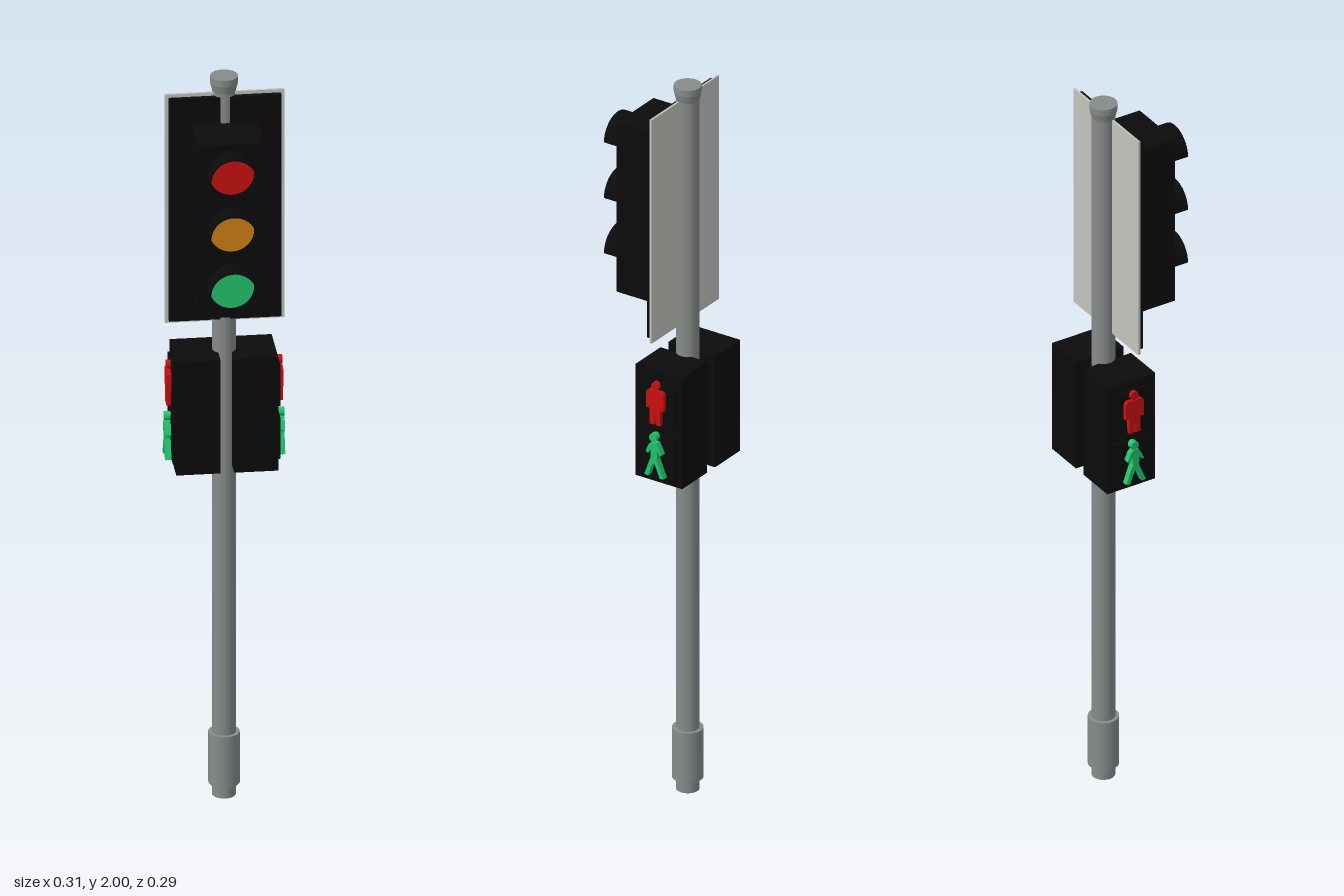
import * as THREE from 'three';

const mat = (name, color) => {
  const m = new THREE.MeshStandardMaterial({ color });
  m.name = name;
  return m;
};

export function createModel() {
  const model = new THREE.Group();
  model.name = 'trafficLight';
  const steel = mat('steel', 0x868c8a);
  const black = mat('black', 0x0b0b0b);
  const pale = mat('paleGrey', 0xc4c4be);
  const red = mat('red', 0xc81010);
  const amber = mat('amber', 0xcf8014);
  const green = mat('green', 0x22c46c);
  const poleZ = -0.0715;

  const add = (parent, name, geometry, material, x = 0, y = 0, z = 0) => {
    const mesh = new THREE.Mesh(geometry, material);
    mesh.name = name;
    mesh.position.set(x, y, z);
    parent.add(mesh);
    return mesh;
  };
  // Box given by its extents
  const box = (parent, name, material, x0, x1, y0, y1, z0, z1) =>
    add(parent, name, new THREE.BoxGeometry(x1 - x0, y1 - y0, z1 - z0), material,
      (x0 + x1) / 2, (y0 + y1) / 2, (z0 + z1) / 2);
  // Upright round section of the pole
  const round = (name, rTop, rBottom, y0, y1) =>
    add(model, name, new THREE.CylinderGeometry(rTop, rBottom, y1 - y0, 32), steel, 0, (y0 + y1) / 2, poleZ);

  // Pole with base sleeve and flared cap
  round('pole', 0.03, 0.03, 0, 1.98);
  round('baseSleeve', 0.04, 0.04, 0.034, 0.175);
  round('capFlare', 0.0355, 0.03, 1.96, 1.982);
  round('cap', 0.0355, 0.0355, 1.982, 2);

  // Backing board: pale sheet with a black front
  box(model, 'backBoard', pale, -0.152, 0.152, 1.325, 1.96, -0.064, -0.058);
  box(model, 'boardFace', black, -0.143, 0.143, 1.334, 1.951, -0.058, -0.044);

  // Main signal housing
  box(model, 'signalHousing', black, -0.083, 0.083, 1.4, 1.88, -0.05, 0.09);

  // Lenses, each under a half-round visor
  const visorShape = new THREE.Shape();
  visorShape.absarc(0, 0, 0.062, 0, Math.PI, false);
  visorShape.absarc(0, 0, 0.0575, Math.PI, 0, true);
  const visorGeo = new THREE.ExtrudeGeometry(visorShape, { depth: 0.053, bevelEnabled: false, curveSegments: 20 });
  const lensGeo = new THREE.CylinderGeometry(0.057, 0.057, 0.006, 32).rotateX(Math.PI / 2);
  [['red', red, 1.8], ['amber', amber, 1.642], ['green', green, 1.485]].forEach(([name, material, y]) => {
    add(model, name + 'Lens', lensGeo, material, 0, y, 0.092);
    add(model, name + 'Visor', visorGeo, black, 0, y, 0.09);
  });

  // Pedestrian figures, drawn as flat outlines
  const poly = (points) => new THREE.Shape(points.map(([x, y]) => new THREE.Vector2(x, y)));
  const disc = (x, y, r) => new THREE.Shape().absarc(x, y, r, 0, Math.PI * 2, false);
  const standing = [
    disc(0, 0.049, 0.0115),
    poly([[-0.02, 0.036], [0.02, 0.036], [0.027, 0.03], [0.027, -0.016], [0.019, -0.016], [0.017, -0.005],
      [0.016, -0.06], [0.002, -0.06], [0, -0.02], [-0.002, -0.06], [-0.016, -0.06], [-0.017, -0.005],
      [-0.019, -0.016], [-0.027, -0.016], [-0.027, 0.03]]),
  ];
  const walking = [
    disc(-0.003, 0.051, 0.0115),
    poly([[-0.008, 0.038], [0.008, 0.038], [0.015, 0.026], [0.024, 0.008], [0.019, 0.004], [0.011, 0.016],
      [0.009, -0.008], [0.018, -0.03], [0.03, -0.058], [0.018, -0.06], [0.008, -0.034], [0, -0.018],
      [-0.009, -0.036], [-0.017, -0.06], [-0.029, -0.058], [-0.019, -0.03], [-0.009, -0.004],
      [-0.01, 0.018], [-0.019, 0.004], [-0.025, 0.008], [-0.016, 0.03]]),
  ];
  const figure = (parent, name, shapes, depth, material, y) => {
    const geo = new THREE.ExtrudeGeometry(shapes, { depth, bevelEnabled: false, curveSegments: 12 });
    add(parent, name, geo.rotateY(Math.PI / 2), material, 0.136, y, 0);
  };

  // Pedestrian signals on both sides of the pole
  ['left', 'right'].forEach((side, i) => {
    const unit = new THREE.Group();
    unit.name = side + 'PedestrianSignal';
    unit.position.z = poleZ;
    unit.rotation.y = i * Math.PI;
    box(unit, 'pedestrianHousing', black, 0.0175, 0.13, 0.925, 1.24, -0.0715, 0.0715);
    [1.155, 1.008].forEach((y) =>
      box(unit, 'lampPanel', black, 0.13, 0.137, y - 0.058, y + 0.058, -0.055, 0.055));
    figure(unit, 'standingFigure', standing, 0.012, red, 1.155);
    figure(unit, 'walkingFigure', walking, 0.017, green, 1.008);
    model.add(unit);
  });

  return model;
}
